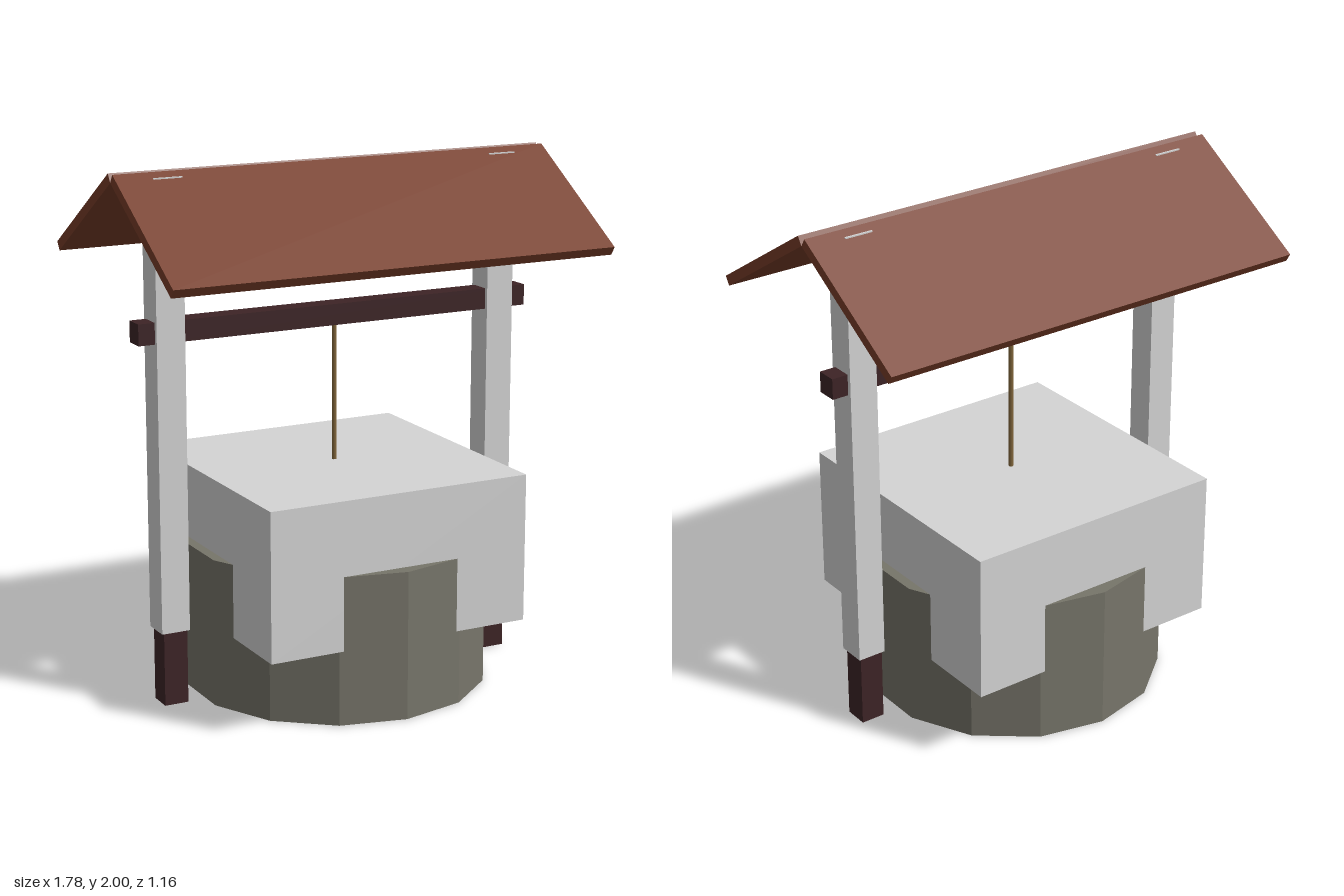
import * as THREE from 'three';

function mat(name, color) {
  const m = new THREE.MeshStandardMaterial({ color });
  m.name = name;
  return m;
}

export function createModel() {
  const well = new THREE.Group();
  well.name = 'well';

  const stone = mat('stone', 0x77756a);
  const plaster = mat('paleGrey', 0xd4d4d4);
  const roofWood = mat('roofWood', 0x783d28);
  const darkWood = mat('darkWood', 0x3d2426);
  const hemp = mat('rope', 0x80653a);
  const black = mat('shaftBlack', 0x1c1c20);
  stone.flatShading = true;

  function add(name, geometry, material, x, y, z) {
    const mesh = new THREE.Mesh(geometry, material);
    mesh.name = name;
    mesh.position.set(x, y, z);
    well.add(mesh);
    return mesh;
  }
  const box = (w, h, d) => new THREE.BoxGeometry(w, h, d);

  // Fourteen-sided stone base with a dark disc underneath
  add('stoneBase', new THREE.CylinderGeometry(0.582, 0.582, 0.568, 14), stone, 0, 0.284, 0);
  add('shaftBottom', new THREE.CircleGeometry(0.45, 14), black, 0, -0.001, 0).rotation.x = Math.PI / 2;

  // Square block sitting over the base
  add('wellBlock', box(1.056, 0.567, 1.056), plaster, 0, 0.5685, 0);

  // Posts on dark feet; their tops just break through the roof
  for (const side of [-1, 1]) {
    add('post', box(0.112, 1.697, 0.112), plaster, side * 0.69, 1.1335, 0);
    add('postFoot', box(0.094, 0.285, 0.094), darkWood, side * 0.688, 0.1425, 0);
  }

  // Axle and hanging rope
  add('axle', box(1.62, 0.08, 0.08), darkWood, 0, 1.42, 0);
  add('rope', new THREE.CylinderGeometry(0.009, 0.009, 0.6, 8), hemp, 0, 1.1, 0);

  // Two sloping roof panels meeting at the ridge
  for (const side of [-1, 1]) {
    const panel = add('roofPanel', box(1.776, 0.0375, 0.607), roofWood, 0, 1.823, side * 0.2675);
    panel.rotation.x = side * THREE.MathUtils.degToRad(32);
  }

  return well;
}
